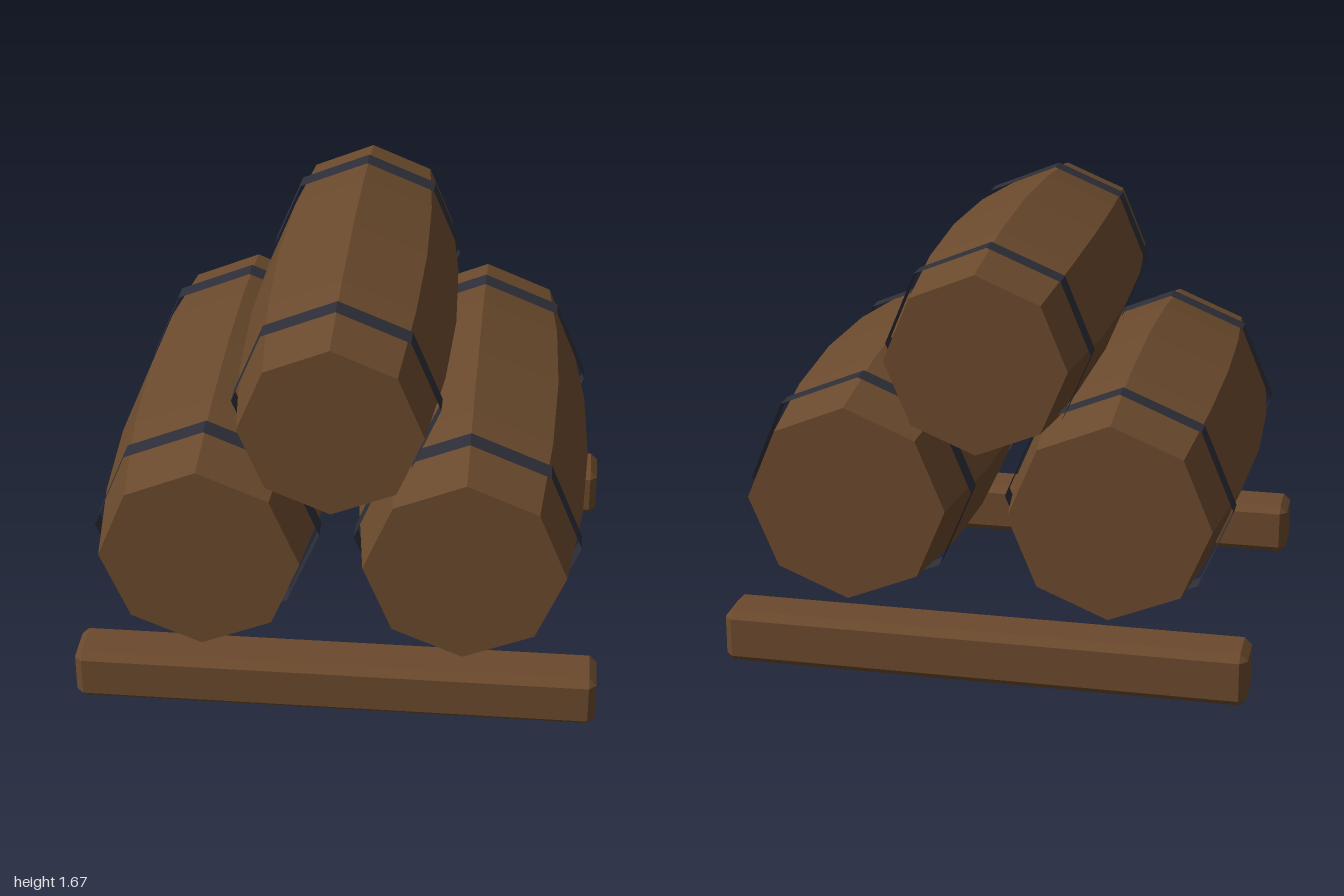
import * as THREE from 'three';
import { ConvexGeometry } from 'three/addons/geometries/ConvexGeometry.js';

const wood = new THREE.MeshStandardMaterial({ color: 0x6b4a2d, flatShading: true });
wood.name = 'brown wood';
const iron = new THREE.MeshStandardMaterial({ color: 0x2d2e37, flatShading: true, side: THREE.DoubleSide });
iron.name = 'dark iron';

const HALF = 0.893; // half length of a barrel

// Eight-sided cask lying along z, bulging by a parabola, with two open hoops
function makeBarrel(name, x, y, radius) {
  const barrel = new THREE.Group();
  barrel.name = name;

  const staves = new THREE.CylinderGeometry(radius, radius, HALF * 2, 8, 4);
  const p = staves.attributes.position;
  for (let i = 0; i < p.count; i++) {
    const s = 1 - 0.157 * (p.getY(i) / HALF) ** 2;
    p.setX(i, p.getX(i) * s);
    p.setZ(i, p.getZ(i) * s);
  }
  staves.rotateX(Math.PI / 2);
  staves.computeVertexNormals();
  const body = new THREE.Mesh(staves, wood);
  body.name = 'barrelBody';
  barrel.add(body);

  const band = new THREE.CylinderGeometry(radius * 0.958, radius * 0.958, 0.086, 8, 1, true);
  band.rotateX(Math.PI / 2);
  for (const side of [1, -1]) {
    const hoop = new THREE.Mesh(band, iron);
    hoop.name = side > 0 ? 'frontHoop' : 'backHoop';
    hoop.position.z = side * 0.647;
    barrel.add(hoop);
  }
  barrel.position.set(x, y, 0);
  return barrel;
}

// Beam with every edge and corner cut off
function chamferedBox(w, h, d, c) {
  const points = [];
  for (const x of [-1, 1]) for (const y of [-1, 1]) for (const z of [-1, 1]) {
    for (let axis = 0; axis < 3; axis++) {
      const cut = [c, c, c];
      cut[axis] = 0;
      points.push(new THREE.Vector3(x * (w / 2 - cut[0]), y * (h / 2 - cut[1]), z * (d / 2 - cut[2])));
    }
  }
  return new ConvexGeometry(points);
}

export function createModel() {
  const model = new THREE.Group();
  model.name = 'barrelStack';

  // Two casks below, a slimmer one on top
  model.add(makeBarrel('leftBarrel', 0.491, 0.706, 0.445));
  model.add(makeBarrel('rightBarrel', -0.491, 0.706, 0.445));
  model.add(makeBarrel('topBarrel', 0, 1.271, 0.4));

  // Support beams across the front and back
  const beam = chamferedBox(2, 0.208, 0.206, 0.028);
  for (const side of [1, -1]) {
    const rail = new THREE.Mesh(beam, wood);
    rail.name = side > 0 ? 'frontRail' : 'backRail';
    rail.position.set(0, 0.104, side * 0.748);
    model.add(rail);
  }
  return model;
}
